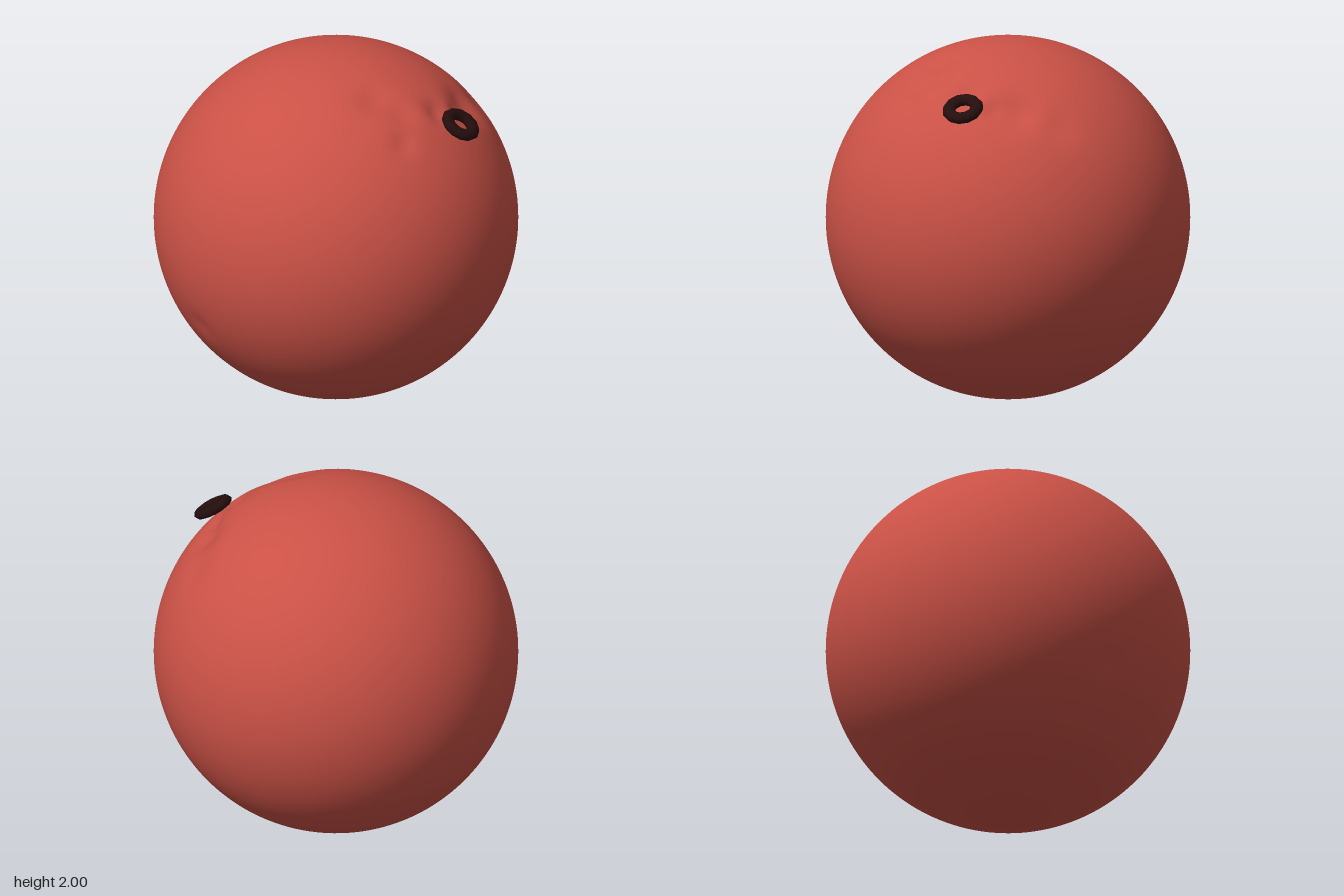
import * as THREE from 'three';
import { mergeVertices } from 'three/addons/utils/BufferGeometryUtils.js';

export function createModel() {
  const group = new THREE.Group();
  const skin = new THREE.MeshStandardMaterial({ color: 0xca5146 });
  skin.name = 'ball red';
  const dark = new THREE.MeshStandardMaterial({ color: 0x240d0d });
  dark.name = 'ring dark';

  // Dents and puckers: position on the ball, radius of influence, depth
  const dents = [
    [0.62, 0.77, 0.02, 0.07, 0.03],
    [0.36, 0.89, 0.26, 0.10, 0.025],
    [0.50, 0.82, 0.22, 0.08, 0.02],
    [0.65, 0.70, -0.28, 0.11, 0.04],
    [0.68, 0.71, -0.14, 0.06, 0.03],
    [0.58, 0.72, 0.36, 0.06, 0.02],
    [0.60, 0.62, -0.50, 0.10, 0.015],
    [-0.44, -0.40, 0.80, 0.07, 0.012],
  ].map(([x, y, z, r, d]) => ({ at: new THREE.Vector3(x, y, z).normalize(), r, d }));

  // Ball: a fine sphere pushed in along its normals
  const base = new THREE.IcosahedronGeometry(1, 30);
  base.deleteAttribute('uv');
  base.deleteAttribute('normal');
  const ballGeo = mergeVertices(base, 1e-4);
  const pos = ballGeo.attributes.position;
  const v = new THREE.Vector3();
  for (let i = 0; i < pos.count; i++) {
    v.fromBufferAttribute(pos, i).normalize();
    let radius = 0.998;
    for (const { at, r, d } of dents) radius -= d * Math.exp(-v.distanceToSquared(at) / (r * r));
    v.multiplyScalar(radius);
    pos.setXYZ(i, v.x, v.y, v.z);
  }
  ballGeo.computeVertexNormals();
  const ball = new THREE.Mesh(ballGeo, skin);
  ball.name = 'ball';
  ball.position.y = 1;
  group.add(ball);

  // Ring lying on the upper left shoulder of the ball
  const ringGeo = new THREE.TorusGeometry(0.078, 0.037, 8, 12);
  ringGeo.scale(1, 1, 0.75);
  const ring = new THREE.Mesh(ringGeo, dark);
  ring.name = 'ring';
  ring.position.set(0.755, 1.715, 0);
  ring.quaternion.setFromUnitVectors(new THREE.Vector3(0, 0, 1), new THREE.Vector3(0.53, 0.85, 0).normalize());
  group.add(ring);

  return group;
}
